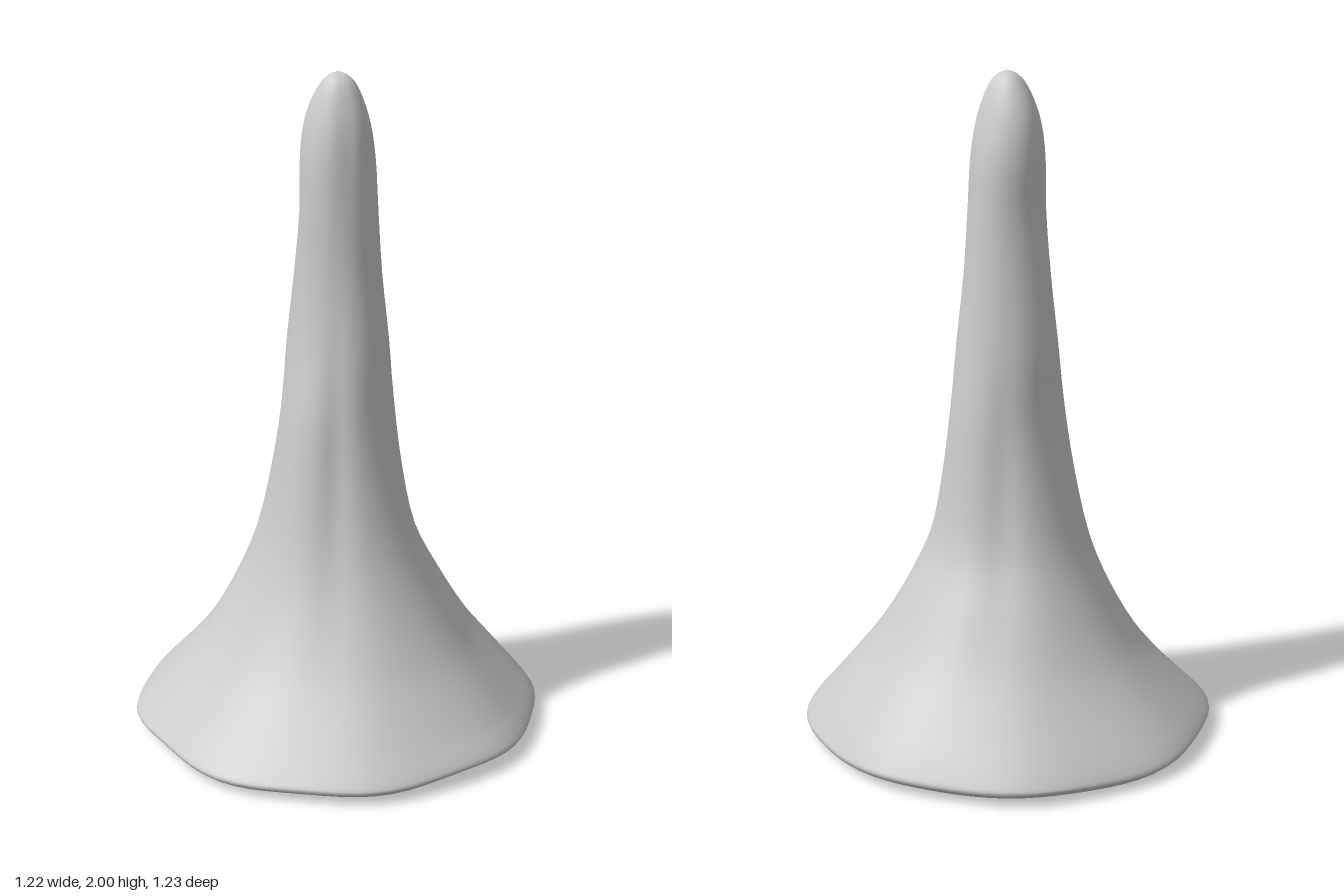
import * as THREE from 'three';

const SEG = 72;

// Height, then reach towards -x, +x, +z, -z
const rings = [
  [0.01, 0.53, 0.53, 0.54, 0.54],
  [0.02, 0.59, 0.585, 0.59, 0.60],
  [0.04, 0.615, 0.61, 0.615, 0.615],
  [0.06, 0.605, 0.60, 0.60, 0.605],
  [0.11, 0.56, 0.555, 0.55, 0.57],
  [0.20, 0.475, 0.48, 0.465, 0.495],
  [0.30, 0.395, 0.405, 0.385, 0.41],
  [0.45, 0.31, 0.32, 0.30, 0.315],
  [0.60, 0.245, 0.255, 0.245, 0.235],
  [0.80, 0.195, 0.20, 0.205, 0.20],
  [1.00, 0.162, 0.165, 0.175, 0.18],
  [1.20, 0.155, 0.15, 0.135, 0.155],
  [1.40, 0.132, 0.127, 0.115, 0.135],
  [1.60, 0.108, 0.115, 0.112, 0.12],
  [1.75, 0.108, 0.108, 0.107, 0.108],
  [1.85, 0.098, 0.097, 0.092, 0.085],
  [1.92, 0.074, 0.077, 0.072, 0.062],
  [1.97, 0.042, 0.053, 0.05, 0.037],
  [1.99, 0.02, 0.032, 0.03, 0.017],
];

// Shallow vertical folds: angle from +x towards +z, mid height, half height, half width, depth
const folds = [
  [1.00, 0.85, 0.45, 0.22, 0.07],
  [2.05, 0.60, 0.40, 0.22, 0.06],
  [-0.55, 0.70, 0.35, 0.25, 0.08],
  [-2.20, 0.75, 0.40, 0.25, 0.06],
  [-1.10, 1.50, 0.30, 0.30, 0.06],
  [0.70, 1.80, 0.20, 0.30, 0.05],
];

function radius(ring, a, y) {
  const [, left, right, front, back] = ring;
  const c = Math.cos(a), s = Math.sin(a);
  const rx = c > 0 ? right : left, rz = s > 0 ? front : back;
  let r = 1 / Math.hypot(c / rx, s / rz);
  for (const [fa, fy, fh, fw, depth] of folds) {
    const da = Math.atan2(Math.sin(a - fa), Math.cos(a - fa)) / fw;
    const dy = (y - fy) / fh;
    r *= 1 - depth * Math.exp(-da * da - dy * dy);
  }
  // Slightly irregular skirt
  const skirt = Math.max(0, 1 - y / 0.5);
  return r * (1 - skirt * (0.012 + 0.012 * Math.cos(8 * a + Math.PI)));
}

// Smooth rows between the measured rings
function sampleRings() {
  const curves = [1, 2, 3, 4].map(k =>
    new THREE.CatmullRomCurve3(rings.map(r => new THREE.Vector3(r[k], r[0], 0)), false, 'centripetal'));
  const rows = [], n = (rings.length - 1) * 3;
  for (let i = 0; i <= n; i++) {
    const p = curves.map(c => c.getPoint(i / n));
    rows.push([p[0].y, ...p.map(v => v.x)]);
  }
  return rows;
}

function bodyGeometry() {
  const rows = sampleRings(), pos = [], idx = [];
  rows.forEach(row => {
    for (let j = 0; j < SEG; j++) {
      const a = j / SEG * Math.PI * 2;
      const r = radius(row, a, row[0]);
      // Gentle waviness along the rim
      const wave = Math.exp(-row[0] * 10) * (0.007 * Math.sin(3 * a + 1) + 0.004 * Math.sin(7 * a));
      pos.push(r * Math.cos(a), Math.max(0.003, row[0] + wave), r * Math.sin(a));
    }
  });
  for (let i = 0; i < rows.length - 1; i++) {
    for (let j = 0; j < SEG; j++) {
      const k = (j + 1) % SEG;
      const a = i * SEG + j, b = i * SEG + k, c = a + SEG, d = b + SEG;
      idx.push(a, c, b, b, c, d);
    }
  }
  // Close the rounded tip
  const tip = pos.length / 3, last = (rows.length - 1) * SEG;
  pos.push(0.006, 2, 0.006);
  for (let j = 0; j < SEG; j++) idx.push(last + j, tip, last + (j + 1) % SEG);
  const g = new THREE.BufferGeometry();
  g.setAttribute('position', new THREE.Float32BufferAttribute(pos, 3));
  g.setIndex(idx);
  g.computeVertexNormals();
  return g;
}

// Flat underside sharing the lowest row of the body
function undersideGeometry(body) {
  const p = body.attributes.position, pos = [0, 0, 0], idx = [];
  for (let j = 0; j < SEG; j++) {
    pos.push(p.getX(j), p.getY(j), p.getZ(j));
    idx.push(0, 1 + j, 1 + (j + 1) % SEG);
  }
  const g = new THREE.BufferGeometry();
  g.setAttribute('position', new THREE.Float32BufferAttribute(pos, 3));
  g.setIndex(idx);
  g.computeVertexNormals();
  return g;
}

export function createModel() {
  const group = new THREE.Group();
  const material = new THREE.MeshStandardMaterial({ color: 0xcccccc });
  const body = new THREE.Mesh(bodyGeometry(), material);
  body.name = 'flaredSpire';
  const underside = new THREE.Mesh(undersideGeometry(body.geometry), material);
  underside.name = 'underside';
  group.add(body, underside);
  return group;
}
